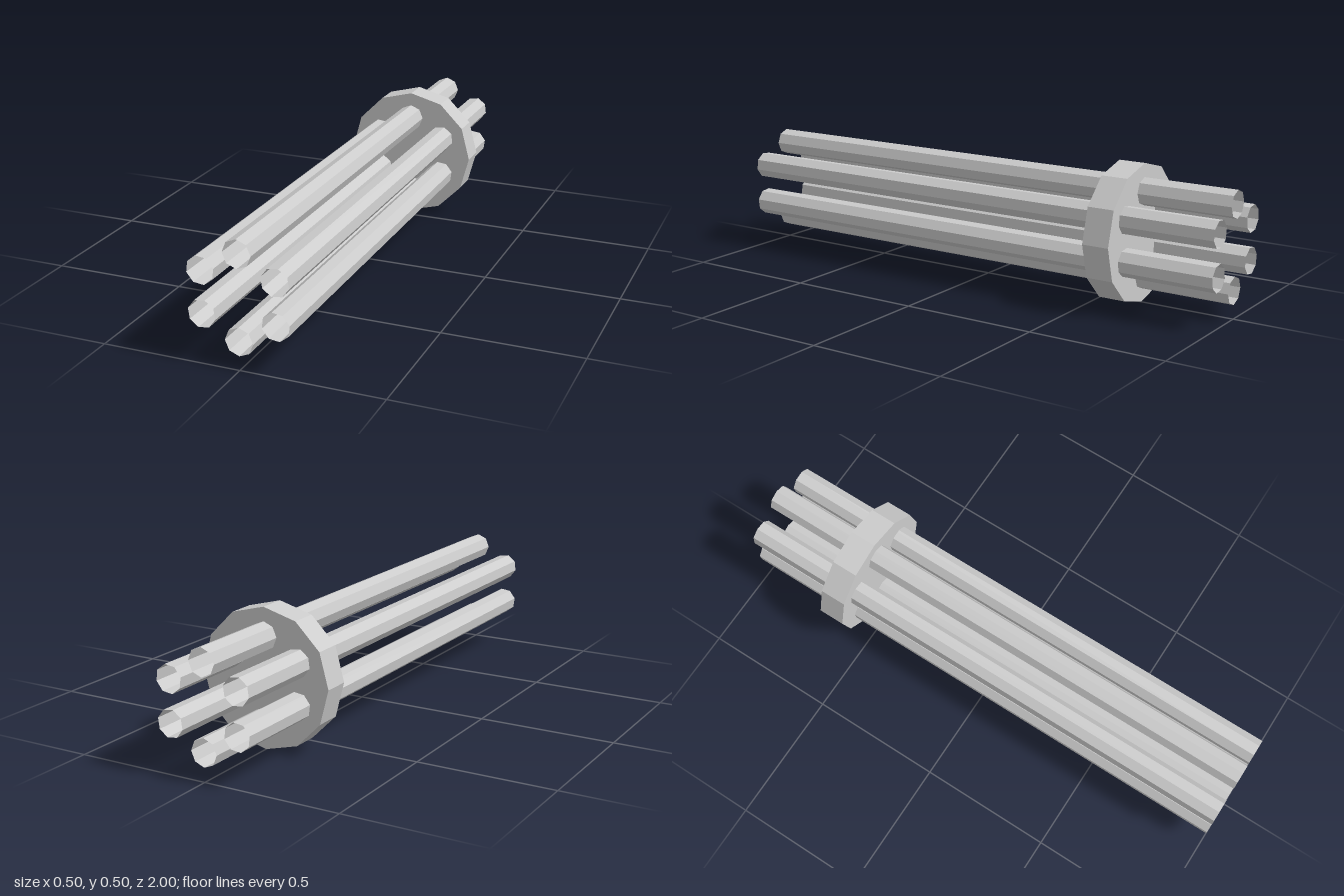
import * as THREE from 'three';

export function createModel() {
  const model = new THREE.Group();
  const solid = new THREE.MeshStandardMaterial({ color: 0xcccccc, flatShading: true });
  const open = new THREE.MeshStandardMaterial({ color: 0xcccccc, flatShading: true, side: THREE.DoubleSide });
  const axisY = 0.25;

  // Six open octagonal tubes, each turned so a corner points away from the axis
  const tubeGeometry = new THREE.CylinderGeometry(0.05, 0.05, 2, 8, 1, true).rotateX(Math.PI / 2);
  for (let i = 0; i < 6; i++) {
    const angle = Math.PI / 2 + (i * Math.PI) / 3;
    const tube = new THREE.Mesh(tubeGeometry, open);
    tube.name = `barrel${i + 1}`;
    tube.position.set(0.15 * Math.cos(angle), axisY + 0.15 * Math.sin(angle), 0);
    tube.rotation.z = angle;
    model.add(tube);
  }

  // Twelve-sided disc that holds the tubes together near the back
  const disc = new THREE.Mesh(
    new THREE.CylinderGeometry(0.25, 0.25, 0.1, 12).rotateX(Math.PI / 2), solid);
  disc.name = 'clampDisc';
  disc.position.set(0, axisY, -0.6);
  model.add(disc);

  return model;
}
